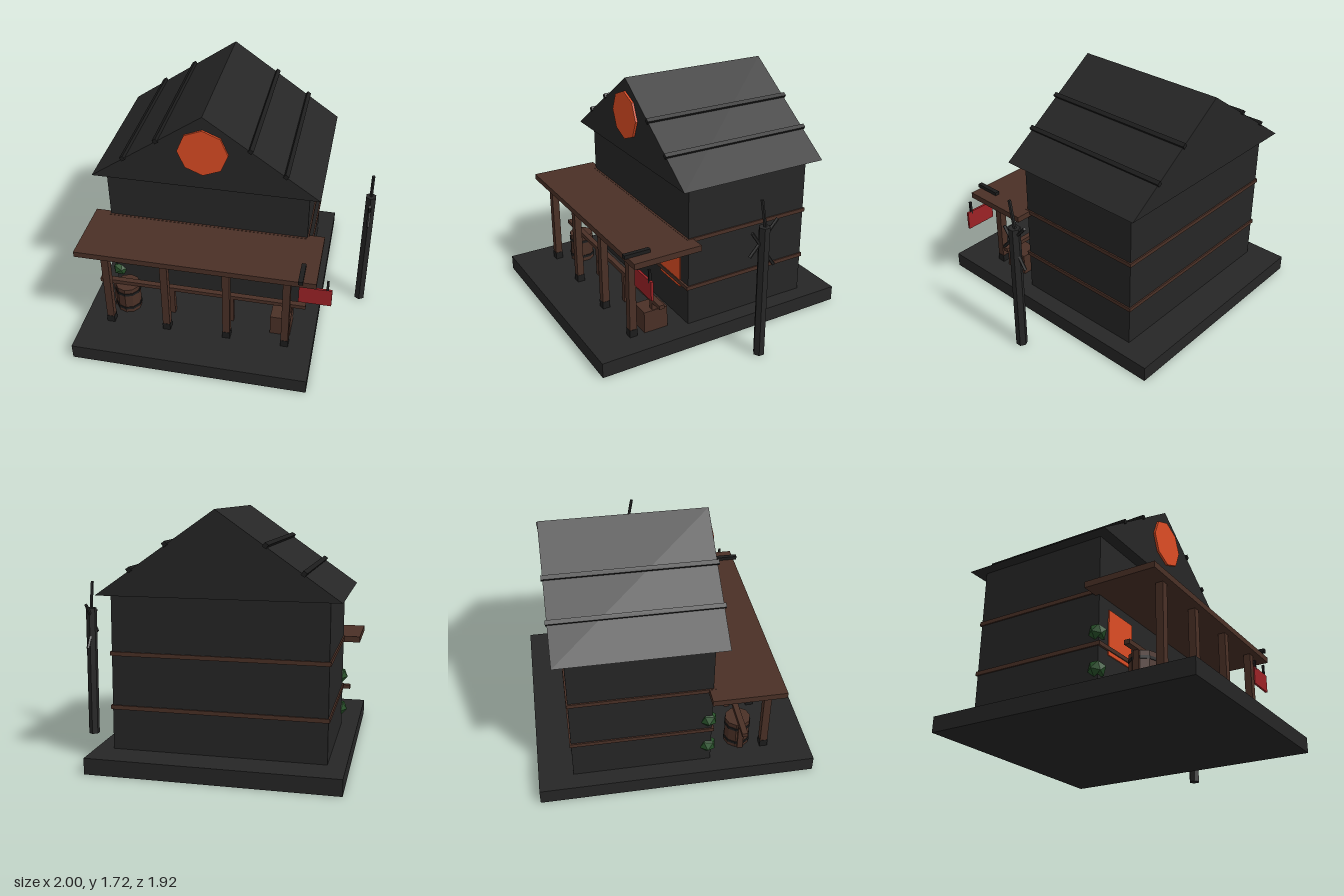
import * as THREE from 'three';

const mat = (name, color) => {
  const m = new THREE.MeshStandardMaterial({ color });
  m.name = name;
  m.flatShading = true;
  return m;
};

export function createModel() {
  const root = new THREE.Group();
  const stone = mat('charcoal', 0x262626);
  const iron = mat('dark iron', 0x1c1c1c);
  const wood = mat('brown wood', 0x4a3026);
  const glow = mat('orange glow', 0xdd4c24);
  const red = mat('sign red', 0x9c2226);
  const leaf = mat('leaf green', 0x28522a);

  const add = (name, geo, material, x = 0, y = 0, z = 0) => {
    const m = new THREE.Mesh(geo, material);
    m.name = name;
    m.position.set(x, y, z);
    root.add(m);
    return m;
  };
  // Box given by its min and max on each axis
  const box = (name, material, x0, x1, y0, y1, z0, z1) =>
    add(name, new THREE.BoxGeometry(x1 - x0, y1 - y0, z1 - z0), material,
      (x0 + x1) / 2, (y0 + y1) / 2, (z0 + z1) / 2);

  // Base slab and house body
  const cx = -0.16;
  box('base', stone, -1, 0.68, 0, 0.11, -0.96, 0.96);
  box('walls', stone, -0.88, 0.56, 0.11, 1.16, -0.72, 0.24);
  for (const y of [0.4, 0.765]) box('wallBand', wood, -0.89, 0.57, y - 0.014, y + 0.014, -0.73, 0.255);

  // Gable roof with battens lying on the slopes
  const gable = new THREE.Shape([
    new THREE.Vector2(-0.8, 0), new THREE.Vector2(0.8, 0), new THREE.Vector2(0, 0.56)]);
  add('roof', new THREE.ExtrudeGeometry(gable, { depth: 1.12, bevelEnabled: false }), stone, cx, 1.16, -0.8);
  const slope = Math.atan2(0.56, 0.8);
  for (const side of [-1, 1]) for (const d of [0.32, 0.56]) {
    const batten = add('roofBatten', new THREE.BoxGeometry(0.03, 0.03, 1.14), iron,
      cx + side * (d + 0.002), 1.72 - d * 0.7 + 0.005, -0.24);
    batten.rotation.z = -side * slope;
  }

  // Gable window and front windows
  const round = add('gableWindow', new THREE.CylinderGeometry(0.175, 0.175, 0.03, 8), glow, cx, 1.45, 0.32);
  round.rotation.x = Math.PI / 2;
  for (const x of [-0.64, 0.32]) box('frontWindow', glow, x - 0.135, x + 0.135, 0.36, 0.67, 0.24, 0.248);

  // Porch roof, posts with iron feet, and railing
  box('porchRoof', wood, -1, 0.68, 0.735, 0.777, 0.21, 0.71);
  for (const x of [-0.8, -0.38, 0.06, 0.48]) {
    box('porchPost', wood, x - 0.026, x + 0.026, 0.165, 0.735, 0.614, 0.666);
    box('postFoot', iron, x - 0.028, x + 0.028, 0.11, 0.165, 0.612, 0.668);
    box('railPost', wood, x - 0.02, x + 0.02, 0.11, 0.325, 0.45, 0.49);
  }
  box('rail', wood, -0.92, 0.6, 0.325, 0.355, 0.45, 0.49);

  // Barrel and crate
  add('barrel', new THREE.CylinderGeometry(0.09, 0.09, 0.215, 10), wood, -0.72, 0.2175, 0.465);
  for (const y of [0.15, 0.28]) {
    add('barrelHoop', new THREE.CylinderGeometry(0.095, 0.095, 0.02, 10), iron, -0.72, y, 0.465);
  }
  box('crate', wood, 0.36, 0.505, 0.11, 0.27, 0.375, 0.555);

  // Hanging sign with bracket
  box('signBracket', iron, 0.56, 0.592, 0.775, 0.802, 0.545, 0.735);
  box('sign', red, 0.56, 0.785, 0.545, 0.68, 0.634, 0.65);
  for (const x of [0.592, 0.752]) box('signHanger', iron, x - 0.008, x + 0.008, 0.66, 0.757, 0.634, 0.65);

  // Leafy clumps at the wall corner
  for (const y of [0.24, 0.485]) {
    const clump = add('leafClump', new THREE.IcosahedronGeometry(0.06, 0), leaf, -0.86, y, 0.22);
    clump.rotation.set(0.3, 0.5, 0.2);
  }

  // Bare tree: six-sided trunk with thin branches, each from (y, z) to (y, z)
  const tx = 0.965;
  add('treeTrunk', new THREE.CylinderGeometry(0.04, 0.04, 0.965, 6), stone, tx, 0.4825, -0.08);
  const branches = [[0.93, -0.09, 1.16, -0.05], [0.77, 0.03, 1.0, -0.18], [0.94, 0.015, 0.67, -0.165]];
  for (const [y0, z0, y1, z1] of branches) {
    const a = new THREE.Vector3(tx, y0, z0), b = new THREE.Vector3(tx, y1, z1);
    const dir = b.clone().sub(a);
    const branch = add('treeBranch', new THREE.CylinderGeometry(0.012, 0.012, dir.length(), 5), stone);
    branch.position.copy(a).add(b).multiplyScalar(0.5);
    branch.quaternion.setFromUnitVectors(new THREE.Vector3(0, 1, 0), dir.normalize());
  }
  return root;
}
